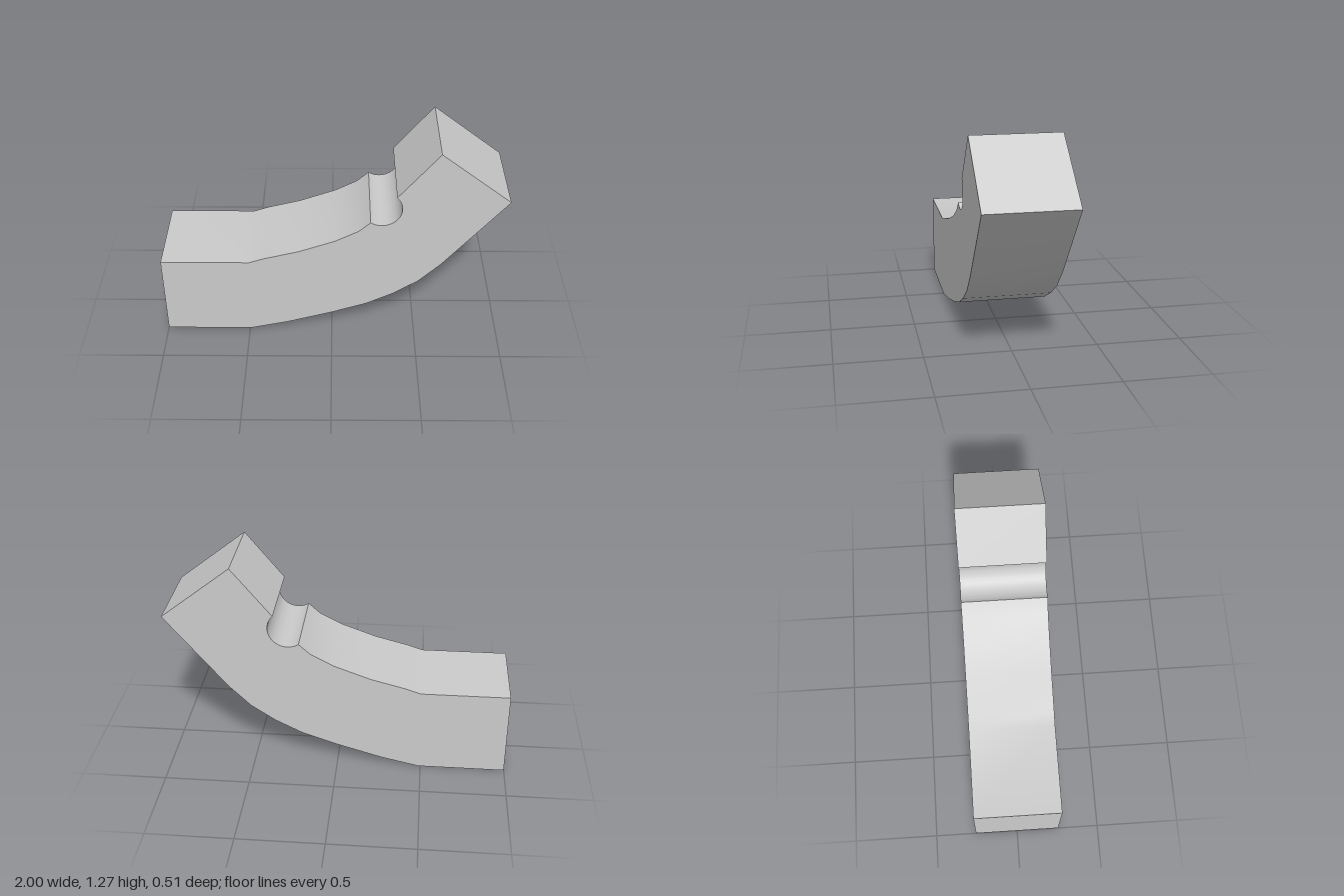
import * as THREE from 'three';
import { toCreasedNormals } from 'three/addons/utils/BufferGeometryUtils.js';

export function createModel() {
  const group = new THREE.Group();
  const depth = 0.512;

  // Underside of the bent bar, left to right, then the slanted end
  const lower = [
    [-1, 0], [-0.49, 0], [-0.27, 0.05], [0, 0.13], [0.21, 0.203],
    [0.37, 0.285], [0.51, 0.38], [0.635, 0.505], [1, 0.952], [0.595, 1.267],
  ];
  // Top side from the groove back to the flat end
  const upper = [
    [0.152, 0.746], [0.02, 0.676], [-0.195, 0.597], [-0.4, 0.543],
    [-0.484, 0.514], [-1, 0.514],
  ];

  const profile = new THREE.Shape();
  profile.moveTo(...lower[0]);
  lower.slice(1).forEach((p) => profile.lineTo(...p));
  // Round groove cut across the inside of the bend
  profile.absarc(0.284, 0.902, 0.113, Math.PI * 0.25, -Math.PI * 0.69, true);
  upper.forEach((p) => profile.lineTo(...p));
  profile.closePath();

  const extruded = new THREE.ExtrudeGeometry(profile, { depth, bevelEnabled: false, curveSegments: 20 });
  extruded.translate(0, 0, -depth / 2);

  const bar = new THREE.Mesh(
    toCreasedNormals(extruded, 0.5),
    new THREE.MeshStandardMaterial({ color: 0xcccccc }),
  );
  bar.name = 'groovedBentBar';
  group.add(bar);
  return group;
}
